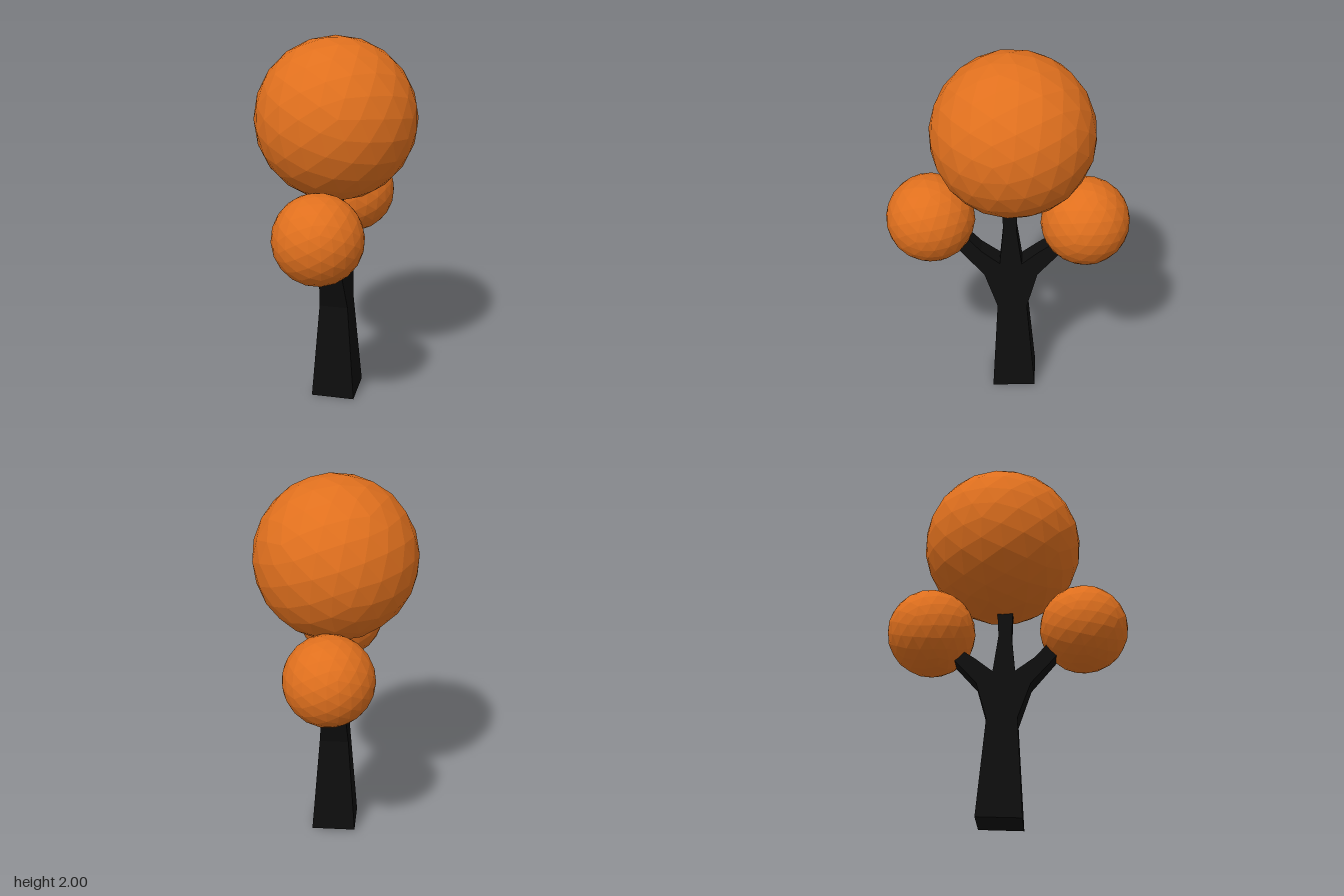
import * as THREE from 'three';

const bark = new THREE.MeshStandardMaterial({ color: 0x0e0e0e, flatShading: true });
const leaves = new THREE.MeshStandardMaterial({ color: 0xe0701e, flatShading: true });

// Forked trunk: a (z, y) outline extruded along x, its width tapering with height
function makeTrunk() {
  const outline = [
    [0.08, 0], [0.055, 0.54], [0.125, 0.737], [0.262, 0.895], // front side and branch
    [0.21, 0.96], [0.143, 0.885], [0.043, 0.81],
    [0.025, 1.02], [0.032, 1.17], [-0.052, 1.17], [-0.045, 1.02], // middle stem
    [-0.075, 0.81], [-0.165, 0.885], [-0.25, 0.945], // back branch and side
    [-0.288, 0.89], [-0.16, 0.745], [-0.105, 0.54], [-0.155, 0.01],
  ];
  const shape = new THREE.Shape(outline.map(([z, y]) => new THREE.Vector2(z, y)));
  const geo = new THREE.ExtrudeGeometry(shape, { depth: 2, bevelEnabled: false });
  geo.translate(0, 0, -1).rotateY(-Math.PI / 2);
  const pos = geo.attributes.position;
  for (let i = 0; i < pos.count; i++) {
    const halfWidth = 0.118 - 0.075 * pos.getY(i);
    pos.setX(i, 0.002 + pos.getX(i) * halfWidth);
  }
  geo.computeVertexNormals();
  const mesh = new THREE.Mesh(geo, bark);
  mesh.name = 'trunk';
  return mesh;
}

// Faceted ball of foliage
function makeFoliage(name, radius, position, rotation) {
  const mesh = new THREE.Mesh(new THREE.IcosahedronGeometry(radius, 3), leaves);
  mesh.name = name;
  mesh.position.set(...position);
  mesh.rotation.set(...rotation);
  return mesh;
}

export function createModel() {
  const tree = new THREE.Group();
  tree.name = 'tree';
  tree.add(
    makeTrunk(),
    makeFoliage('topFoliage', 0.427, [-0.002, 1.574, -0.025], [0.3, 0.4, 0.2]),
    makeFoliage('frontFoliage', 0.236, [0.004, 1.067, 0.409], [0.1, 0.3, 0]),
    makeFoliage('backFoliage', 0.236, [0.004, 1.062, -0.407], [-0.1, 0.3, 0]),
  );
  return tree;
}
